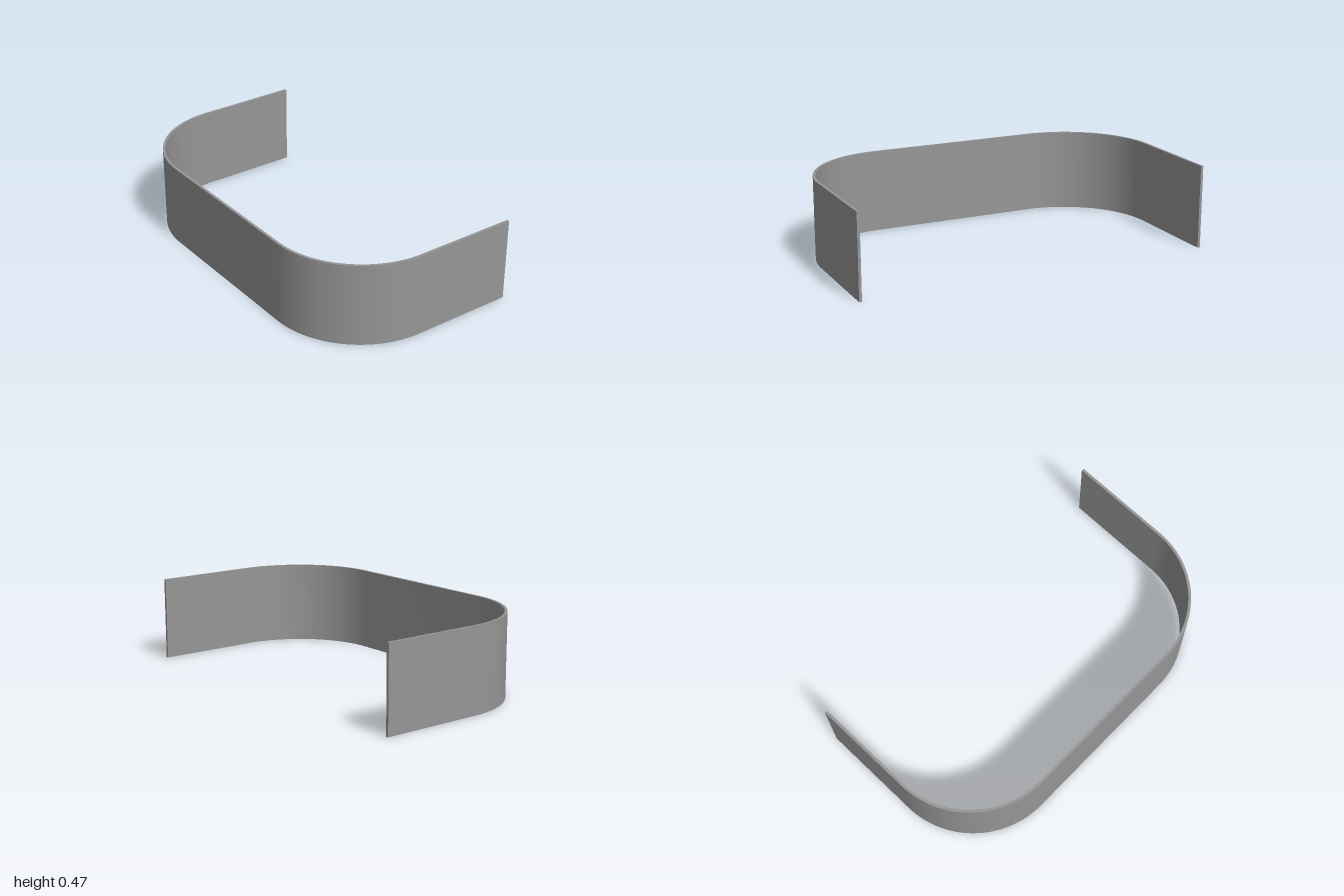
import * as THREE from 'three';
import { toCreasedNormals } from 'three/addons/utils/BufferGeometryUtils.js';

const HEIGHT = 0.465;
const HALF_WIDTH = 1;
const HALF_DEPTH = 0.545;
const RADIUS = 0.515;
const THICKNESS = 0.015;

// U-shaped plan of the band: shape y becomes z (front) after rotation
function bandPlan() {
  const cx = HALF_WIDTH - RADIUS;
  const cz = HALF_DEPTH - RADIUS;
  const inner = RADIUS - THICKNESS;
  const shape = new THREE.Shape();
  // outer edge, left arm to right arm
  shape.moveTo(HALF_WIDTH, -HALF_DEPTH);
  shape.lineTo(HALF_WIDTH, cz);
  shape.absarc(cx, cz, RADIUS, 0, Math.PI / 2, false);
  shape.absarc(-cx, cz, RADIUS, Math.PI / 2, Math.PI, false);
  shape.lineTo(-HALF_WIDTH, -HALF_DEPTH);
  // inner edge, back again
  shape.lineTo(-HALF_WIDTH + THICKNESS, -HALF_DEPTH);
  shape.absarc(-cx, cz, inner, Math.PI, Math.PI / 2, true);
  shape.absarc(cx, cz, inner, Math.PI / 2, 0, true);
  shape.lineTo(HALF_WIDTH - THICKNESS, -HALF_DEPTH);
  shape.closePath();
  return shape;
}

export function createModel() {
  const group = new THREE.Group();
  group.name = 'curvedBand';

  const extruded = new THREE.ExtrudeGeometry(bandPlan(), {
    depth: HEIGHT,
    bevelEnabled: false,
    curveSegments: 32,
  });
  extruded.rotateX(Math.PI / 2).translate(0, HEIGHT, 0);

  const band = new THREE.Mesh(
    toCreasedNormals(extruded, Math.PI / 6),
    new THREE.MeshStandardMaterial({ color: 0x969696 })
  );
  band.name = 'band';
  group.add(band);
  return group;
}
